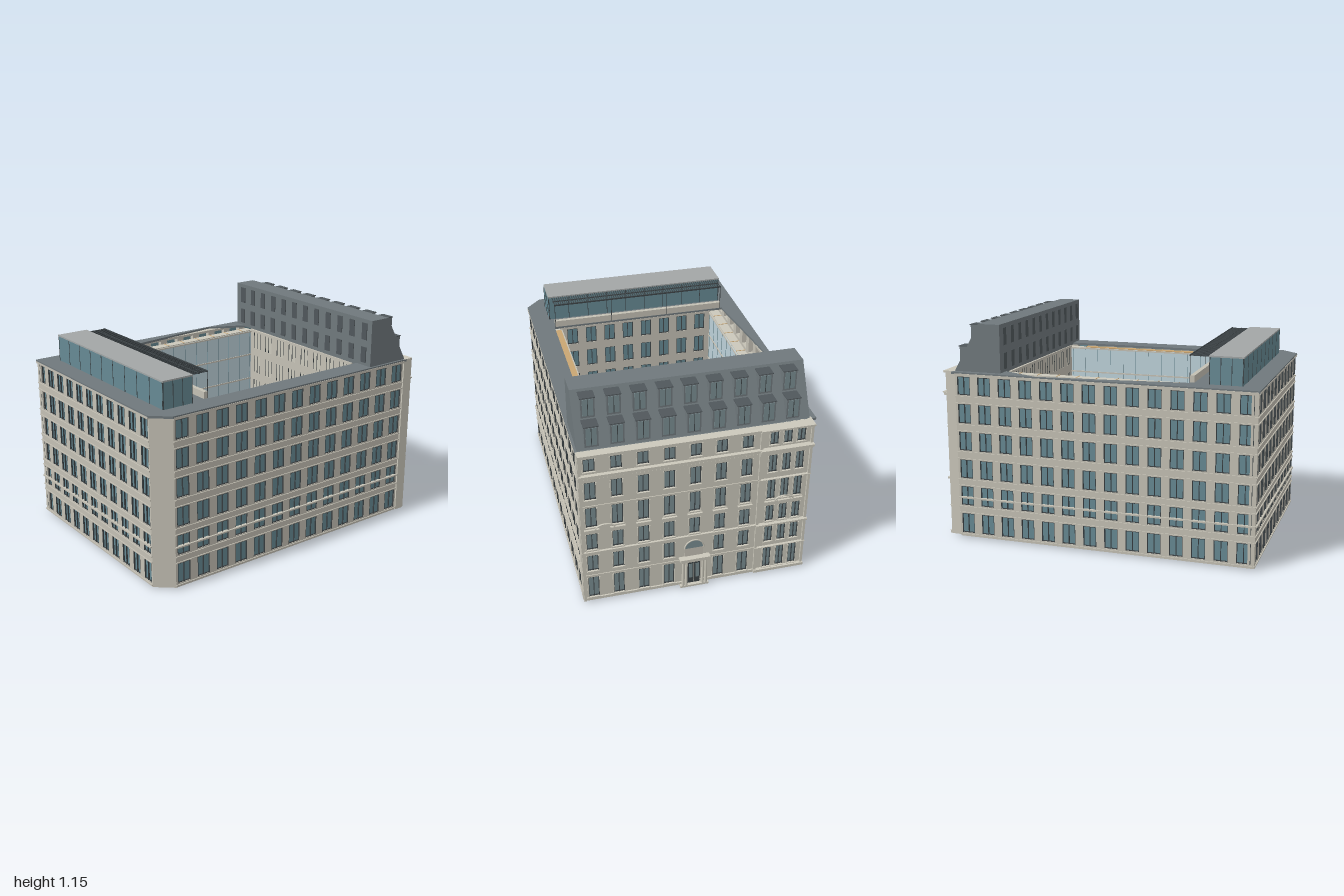
import * as THREE from 'three';
import { mergeGeometries } from 'three/addons/utils/BufferGeometryUtils.js';

const mat = (color, side = THREE.FrontSide) => new THREE.MeshStandardMaterial({ color, side });
const STONE = mat(0xc4c0b4), LIGHT = mat(0xcbc8bb), SLATE = mat(0x6f787c), DARK = mat(0x50575b);
const GLASS = mat(0x668993, THREE.DoubleSide), PALE = mat(0xbed2da, THREE.DoubleSide), PANE = mat(0x7a8d91, THREE.DoubleSide);
const FRAME = mat(0x3d4447), FLOOR = mat(0xd4d3c6), TAN = mat(0xc9a673), GREY = mat(0xa2a6a6);

const range = (n, a, b) => Array.from({ length: n }, (_, i) => a + (b - a) * i / (n - 1));

// Box from its limits
function block(x0, x1, y0, y1, z0, z1) {
  return new THREE.BoxGeometry(x1 - x0, y1 - y0, z1 - z0).translate((x0 + x1) / 2, (y0 + y1) / 2, (z0 + z1) / 2);
}

function add(parent, name, geometry, material) {
  const g = Array.isArray(geometry) ? mergeGeometries(geometry) : geometry;
  const m = new THREE.Mesh(g, material);
  m.name = name;
  parent.add(m);
}

function polygon(points) {
  return new THREE.Shape(points.map(p => new THREE.Vector2(p[0], p[1])));
}

// Wall whose outer face is local z = 0, with real window openings.
// Each opening is [centre x, bottom, top, width].
function wall(parent, name, { x, z, turn, a, b, y0 = 0.01, y1 = 0.89, depth = 0.035, wins = [], material = STONE, glass = GLASS }) {
  const g = new THREE.Group();
  g.name = name;
  g.position.set(x, 0, z);
  g.rotation.y = turn;
  const s = polygon([[a, y0], [b, y0], [b, y1], [a, y1]]);
  const frames = [], inset = 0.008;
  for (const [c, lo, hi, w] of wins) {
    const l = c - w / 2, r = c + w / 2;
    s.holes.push(new THREE.Path([[l, lo], [l, hi], [r, hi], [r, lo]].map(p => new THREE.Vector2(...p))));
    for (const e of [l, c - 0.0015, r - 0.003]) frames.push(block(e, e + 0.003, lo, hi, -inset, 0));
    for (const e of [lo, hi - 0.004]) frames.push(block(l, r, e, e + 0.004, -inset, -inset + 0.005));
  }
  add(g, 'masonry', new THREE.ExtrudeGeometry(s, { depth, bevelEnabled: false }).translate(0, 0, -depth), material);
  if (wins.length) {
    add(g, 'windowGlass', new THREE.PlaneGeometry(b - a - 0.02, y1 - y0 - 0.02).translate((a + b) / 2, (y0 + y1) / 2, -inset), glass);
    add(g, 'windowFrames', frames, FRAME);
  }
  parent.add(g);
  return g;
}

// Six storeys of the plain office fronts
const ROWS = [[0.03, 0.137], [0.183, 0.287], [0.332, 0.433], [0.483, 0.583], [0.63, 0.732], [0.78, 0.877]];
const grid = (cols, w, rows = ROWS) => rows.flatMap(([lo, hi]) => cols.map(c => [c, lo, hi, w]));

function officeFront(parent, name, opt, cols) {
  const g = wall(parent, name, { ...opt, wins: grid(cols, (cols[1] - cols[0]) * 0.62) });
  const { a, b } = opt;
  add(g, 'stringCourses', [
    ...ROWS.flatMap(([lo, hi]) => [block(a, b, hi + 0.003, hi + 0.008, 0, 0.005), block(a, b, lo - 0.012, lo - 0.006, 0, 0.005)]),
    block(a, b, 0.222, 0.23, -0.01, 0.009), block(a, b, 0.885, 0.893, 0, 0.008)], STONE);
}

function streetFront(parent) {
  const rows = [[0.03, 0.155], [0.2, 0.295], [0.335, 0.43], [0.475, 0.59], [0.64, 0.74], [0.805, 0.875]];
  const cols = range(7, -0.546, 0.233), ends = [0.367, 0.437, 0.506];
  // The entrance replaces the two lowest windows of its bay
  const wins = [...grid(cols, 0.055, rows), ...grid(ends, 0.042, rows)]
    .filter(([c, lo]) => !(Math.abs(c - cols[4]) < 0.01 && lo < 0.3));
  const g = wall(parent, 'streetFacade', { x: 0.81, z: 0, turn: Math.PI / 2, a: -0.602, b: 0.568, wins, material: LIGHT, glass: PANE, y1: 0.9, depth: 0.05 });

  // Cornices and bands, stepping out over the end bay
  const trim = [];
  for (const [y, h, d] of [[0.77, 0.012, 0.012], [0.783, 0.006, 0.02], [0.315, 0.01, 0.012], [0.89, 0.01, 0.012], [0.012, 0.015, 0.008], [0.6, 0.004, 0.004], [0.168, 0.004, 0.004]])
    trim.push(block(-0.6, 0.568, y, y + h, 0, d), block(0.295, 0.568, y, y + h, d, d + 0.01));
  for (const x of range(60, -0.595, 0.555)) trim.push(block(x, x + 0.008, 0.76, 0.77, 0, 0.01));
  for (const x of [-0.6, 0.295, 0.553]) trim.push(block(x, x + 0.013, 0.01, 0.89, 0, 0.01));
  // Window surrounds and lintels
  for (const [c, lo, hi, w] of wins) {
    trim.push(block(c - w / 2 - 0.005, c + w / 2 + 0.005, lo - 0.007, lo, 0, 0.008));
    for (const s of [-1, 1]) trim.push(block(c + s * (w / 2 + 0.003) - 0.003, c + s * (w / 2 + 0.003) + 0.003, lo, hi, 0, 0.004));
    if (lo === 0.335) trim.push(block(c - w / 2 - 0.01, c + w / 2 + 0.01, 0.456, 0.462, 0, 0.012));
  }
  add(g, 'stoneTrim', trim, LIGHT);
  for (const c of [-0.48, 0.437]) {
    const arch = new THREE.TorusGeometry(0.048, 0.005, 6, 16, Math.PI).scale(1, 0.55, 1).translate(c, 0.459, 0.006);
    add(g, 'archedPediment', arch, LIGHT);
  }

  // Entrance: columns, entablature, door and fanlight
  const d = new THREE.Group();
  d.name = 'entrance';
  d.position.x = cols[4];
  add(d, 'doorway', block(-0.05, 0.05, 0.01, 0.165, 0, 0.004), STONE);
  add(d, 'door', [block(-0.032, -0.002, 0.015, 0.15, 0.004, 0.009), block(0.002, 0.032, 0.015, 0.15, 0.004, 0.009)], FRAME);
  add(d, 'doorGlass', [-0.017, 0.017].map(x => block(x - 0.009, x + 0.009, 0.05, 0.14, 0.009, 0.011)), PANE);
  add(d, 'columns', [-0.06, -0.043, 0.043, 0.06].map(x => new THREE.CylinderGeometry(0.006, 0.008, 0.155, 10).translate(x, 0.09, 0.018)), LIGHT);
  add(d, 'entablature', [block(-0.072, 0.072, 0.165, 0.18, 0, 0.026), block(-0.08, 0.08, 0.18, 0.189, 0, 0.032), block(-0.075, 0.075, 0.003, 0.014, 0, 0.026)], LIGHT);
  add(d, 'fanlight', new THREE.CircleGeometry(0.048, 20, 0, Math.PI).translate(0, 0.24, 0.004), PANE);
  add(d, 'fanlightBase', block(-0.048, 0.048, 0.19, 0.24, 0, 0.004), STONE);
  add(d, 'fanlightArch', new THREE.TorusGeometry(0.05, 0.004, 6, 18, Math.PI).translate(0, 0.24, 0.004), LIGHT);
  g.add(d);
}

function mansard(parent) {
  const g = new THREE.Group();
  g.name = 'mansardRoof';
  const s = polygon([[0.512, 0.895], [0.772, 0.895], [0.63, 1.15], [0.512, 1.15]]);
  add(g, 'slopedRoof', new THREE.ExtrudeGeometry(s, { depth: 1.15, bevelEnabled: false }).translate(0, 0, -0.558), SLATE);
  // Two rows of dormers on the street slope
  const body = [], tops = [], panes = [], bars = [];
  for (const v of range(9, -0.47, 0.52))
    for (const [u, y0, y1] of [[0.765, 0.91, 1.02], [0.697, 1.03, 1.135]]) {
      body.push(block(u - 0.1, u, y0, y1, v - 0.034, v + 0.034));
      tops.push(block(u - 0.1, u + 0.004, y1, y1 + 0.004, v - 0.037, v + 0.037));
      panes.push(block(u, u + 0.002, y0 + 0.01, y1 - 0.006, v - 0.026, v + 0.026));
      bars.push(block(u, u + 0.004, y0 + 0.01, y1 - 0.006, v - 0.0015, v + 0.0015));
    }
  add(g, 'dormers', body, SLATE);
  add(g, 'dormerTops', tops, DARK);
  add(g, 'dormerGlass', panes, PANE);
  add(g, 'dormerBars', bars, FRAME);
  // Narrow windows on the courtyard side
  const slots = [[0.915, 1.0], [1.04, 1.13]].flatMap(([a, b]) =>
    range(12, -0.5, 0.54).map(v => block(0.508, 0.513, a, b, v - 0.018, v + 0.018)));
  add(g, 'courtyardWindows', slots, DARK);
  parent.add(g);
}

function penthouse(parent) {
  const g = new THREE.Group();
  g.name = 'penthouse';
  add(g, 'glassWalls', block(-0.736, -0.568, 0.895, 1.034, -0.503, 0.503), GLASS);
  add(g, 'flatRoof', block(-0.738, -0.565, 1.034, 1.042, -0.504, 0.504), GREY);
  add(g, 'mullions', [...range(10, -0.5, 0.5).map(v => block(-0.7375, -0.5665, 0.895, 1.034, v - 0.0015, v + 0.0015)),
    ...range(4, -0.734, -0.57).map(u => block(u - 0.0015, u + 0.0015, 0.895, 1.034, -0.5045, 0.5045))], FRAME);
  // Louvred canopy over the terrace
  add(g, 'canopy', [...range(80, -0.482, 0.482).map(v => block(-0.565, -0.465, 1.033, 1.036, v - 0.002, v + 0.002)),
    block(-0.469, -0.465, 1.031, 1.039, -0.486, 0.486), block(-0.52, -0.516, 1.031, 1.037, -0.486, 0.486),
    ...range(4, -0.483, 0.483).map(v => block(-0.469, -0.466, 0.9, 1.033, v - 0.0015, v + 0.0015))], FRAME);
  add(g, 'terraceParapet', block(-0.49, -0.468, 0.89, 0.935, -0.485, 0.485), STONE);
  parent.add(g);
}

function courtyard(parent) {
  const g = new THREE.Group();
  g.name = 'courtyard';
  add(g, 'baseSlab', block(-0.6, 0.53, 0, 0.01, -0.49, 0.495), FLOOR);
  add(g, 'coreWalls', [block(0.512, 0.53, 0.01, 0.88, -0.49, 0.495), block(-0.6, -0.58, 0.01, 0.88, -0.49, 0.495),
    block(-0.58, 0.512, 0.01, 0.885, -0.475, -0.425), block(-0.58, 0.512, 0.01, 0.88, 0.459, 0.495)], LIGHT);
  add(g, 'tanLedge', block(-0.455, 0.42, 0.88, 0.885, 0.455, 0.493), TAN);
  add(g, 'copingJoints', range(9, -0.4, 0.45).map(u => block(u - 0.002, u + 0.002, 0.884, 0.887, -0.475, -0.425)), TAN);
  // Glazed curtain walls with floor bands
  for (const [z, s] of [[-0.425, 1], [0.455, -1]]) {
    const w = new THREE.Group();
    w.name = 'curtainWall';
    w.position.z = z;
    add(w, 'glazing', block(-0.465, 0.51, 0.41, 0.88, -0.004, 0.004), PALE);
    add(w, 'floorBands', [0.43, 0.58, 0.73, 0.872].map(y => block(-0.465, 0.51, y, y + 0.008, -0.008, 0.008)), STONE);
    add(w, 'mullions', range(13, -0.45, 0.5).map(u => block(u - 0.001, u + 0.001, 0.41, 0.88, Math.min(0, s * 0.006), Math.max(0, s * 0.006))), GLASS);
    g.add(w);
  }
  const rows = ROWS.slice(3);
  wall(g, 'innerRightWall', { x: 0.51, z: 0, turn: -Math.PI / 2, a: -0.425, b: 0.455, y0: 0.41, depth: 0.02, wins: grid(range(8, -0.36, 0.39), 0.06, rows) });
  wall(g, 'innerLeftWall', { x: -0.465, z: 0, turn: Math.PI / 2, a: -0.455, b: 0.425, y0: 0.41, depth: 0.02, wins: grid(range(8, -0.39, 0.36), 0.06, rows) });
  // Glass roof over the atrium
  add(g, 'atriumGlass', block(-0.465, 0.51, 0.41, 0.42, -0.425, 0.455), PALE);
  add(g, 'atriumBeams', range(9, -0.38, 0.41).map(v => block(-0.465, 0.51, 0.42, 0.426, v - 0.004, v + 0.004)), STONE);
  add(g, 'atriumBars', range(18, -0.44, 0.48).map(u => block(u - 0.001, u + 0.001, 0.42, 0.422, -0.425, 0.455)), GLASS);
  parent.add(g);
}

export function createModel() {
  const model = new THREE.Group();
  model.name = 'cityBlock';
  const building = new THREE.Group();
  building.name = 'building';
  building.rotation.y = THREE.MathUtils.degToRad(23);
  model.add(building);

  // Outer walls
  officeFront(building, 'frontFacade', { x: 0, z: 0.597, turn: 0, a: -0.743, b: 0.757 }, range(13, -0.695, 0.71));
  officeFront(building, 'backFacade', { x: 0, z: -0.585, turn: Math.PI, a: -0.757, b: 0.83 }, range(14, -0.71, 0.775));
  officeFront(building, 'leftFacade', { x: -0.83, z: 0, turn: -Math.PI / 2, a: -0.585, b: 0.523 }, range(11, -0.535, 0.482));
  wall(building, 'cornerFacade', { x: -0.7865, z: 0.56, turn: -0.705, a: -0.057, b: 0.057, y1: 0.895 });
  streetFront(building);

  // Flat roof ring, open over the courtyard and a back light well
  const ring = polygon([[-0.836, -0.522], [-0.747, -0.603], [0.775, -0.603], [0.775, 0.59], [-0.836, 0.59]]);
  ring.holes.push(polygon([[-0.466, 0.495], [-0.1, 0.54], [0.31, 0.583], [0.525, 0.48], [0.515, -0.49], [-0.466, -0.49]]));
  const roof = new THREE.ExtrudeGeometry(ring, { depth: 0.012, bevelEnabled: false }).rotateX(-Math.PI / 2).translate(0, 0.888, 0);
  add(building, 'roofRing', roof, SLATE);

  courtyard(building);
  mansard(building);
  penthouse(building);
  return model;
}
